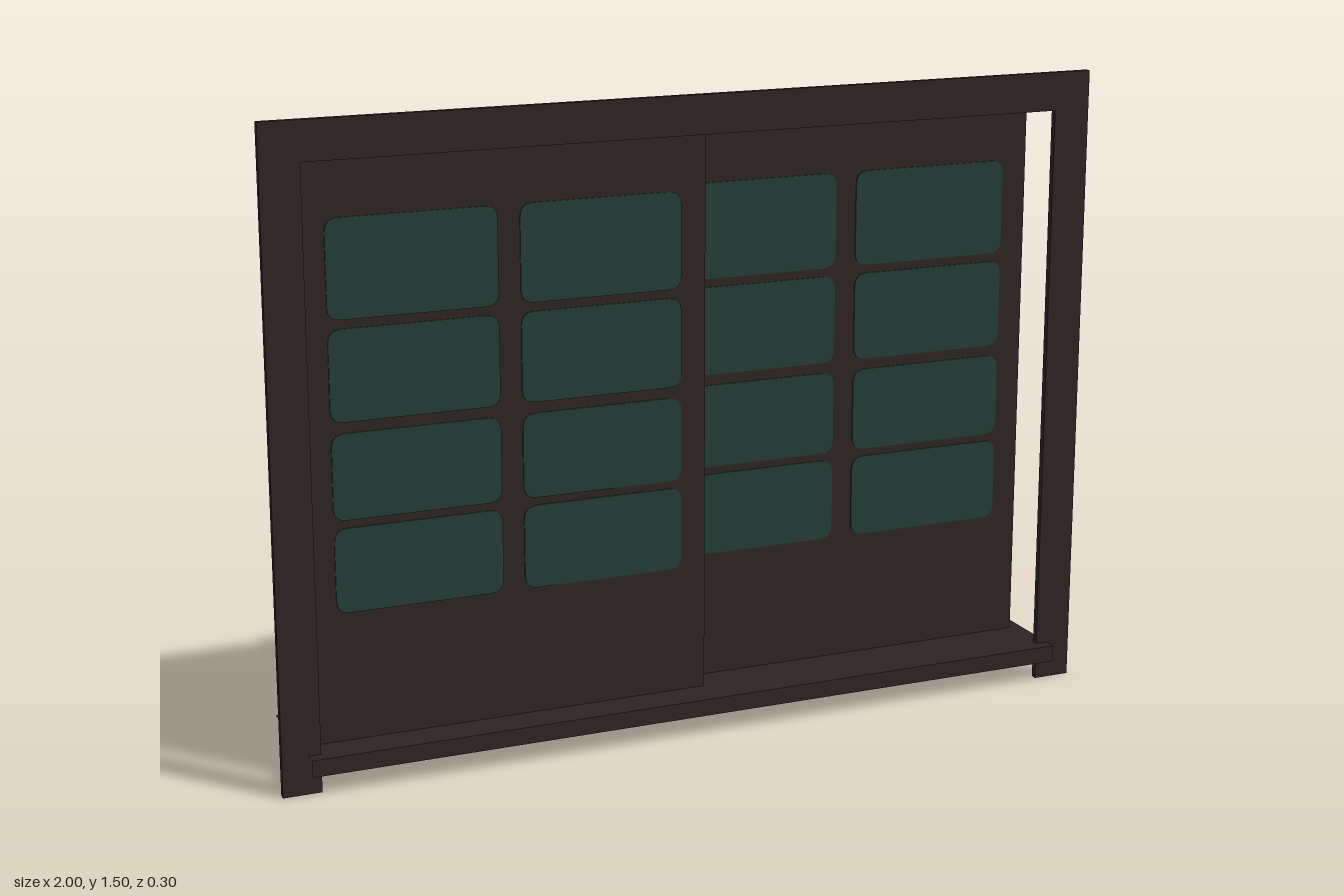
import * as THREE from 'three';

export function createModel() {
  const model = new THREE.Group();
  model.name = 'slidingWindow';
  const wood = new THREE.MeshStandardMaterial({ color: 0x2e2323, side: THREE.DoubleSide });
  wood.name = 'darkWood';
  const glass = new THREE.MeshStandardMaterial({ color: 0x243d37, side: THREE.DoubleSide });
  glass.name = 'greenGlass';

  const add = (parent, name, geometry, material, x, y, z) => {
    const mesh = new THREE.Mesh(geometry, material);
    mesh.name = name;
    mesh.position.set(x, y, z);
    parent.add(mesh);
    return mesh;
  };
  const plane = (w, h) => new THREE.PlaneGeometry(w, h);

  // Outer frame: one flat arch, open at the bottom
  const arch = new THREE.Shape([
    [-1, 0], [-0.91, 0], [-0.91, 1.41], [0.91, 1.41],
    [0.91, 0], [1, 0], [1, 1.5], [-1, 1.5],
  ].map(([x, y]) => new THREE.Vector2(x, y)));
  add(model, 'outerFrame',
    new THREE.ExtrudeGeometry(arch, { depth: 0.015, bevelEnabled: false }), wood, 0, 0, 0.105);

  // Sill board with a lip hanging along its front edge
  add(model, 'sill', plane(1.88, 0.3).rotateX(-Math.PI / 2), wood, 0, 0.09, 0);
  add(model, 'sillLip', plane(1.88, 0.04), wood, 0, 0.07, 0.15);

  // Pane with softly rounded corners, just proud of both sides of its sash
  const pane = (w, h) => {
    const r = 0.03, x = w / 2, y = h / 2;
    const s = new THREE.Shape();
    s.moveTo(-x + r, -y);
    s.lineTo(x - r, -y).quadraticCurveTo(x, -y, x, -y + r);
    s.lineTo(x, y - r).quadraticCurveTo(x, y, x - r, y);
    s.lineTo(-x + r, y).quadraticCurveTo(-x, y, -x, y - r);
    s.lineTo(-x, -y + r).quadraticCurveTo(-x, -y, -x + r, -y);
    return new THREE.ExtrudeGeometry(s, { depth: 0.006, bevelEnabled: false, curveSegments: 4 })
      .translate(0, 0, -0.003);
  };
  const rows = [[0.39, 0.585], [0.603, 0.8], [0.825, 1.033], [1.053, 1.277]];
  const columns = [[0.02, 0.405], [0.457, 0.848]];

  // Two sliding sashes overlapping at the middle; side is +1 for the model's left
  const sash = (name, side, z) => {
    const group = new THREE.Group();
    group.name = name;
    group.position.z = z;
    model.add(group);
    add(group, 'sashPanel', plane(0.95, 1.36), wood, side * 0.435, 0.73, 0);
    for (const [x0, x1] of columns)
      for (const [y0, y1] of rows)
        add(group, 'pane', pane(x1 - x0, y1 - y0), glass, side * (x0 + x1) / 2, (y0 + y1) / 2, 0);
    return group;
  };
  sash('leftSash', 1, -0.01);
  const front = sash('rightSash', -1, 0.063);

  // Folded edges behind the front sash
  for (const x of [-0.91, 0.04])
    add(front, 'sashEdge', plane(0.045, 1.36).rotateY(Math.PI / 2), wood, x, 0.73, -0.0225);
  for (const y of [0.05, 1.41])
    add(front, 'sashRail', plane(0.95, 0.045).rotateX(-Math.PI / 2), wood, -0.435, y, -0.0225);

  return model;
}
